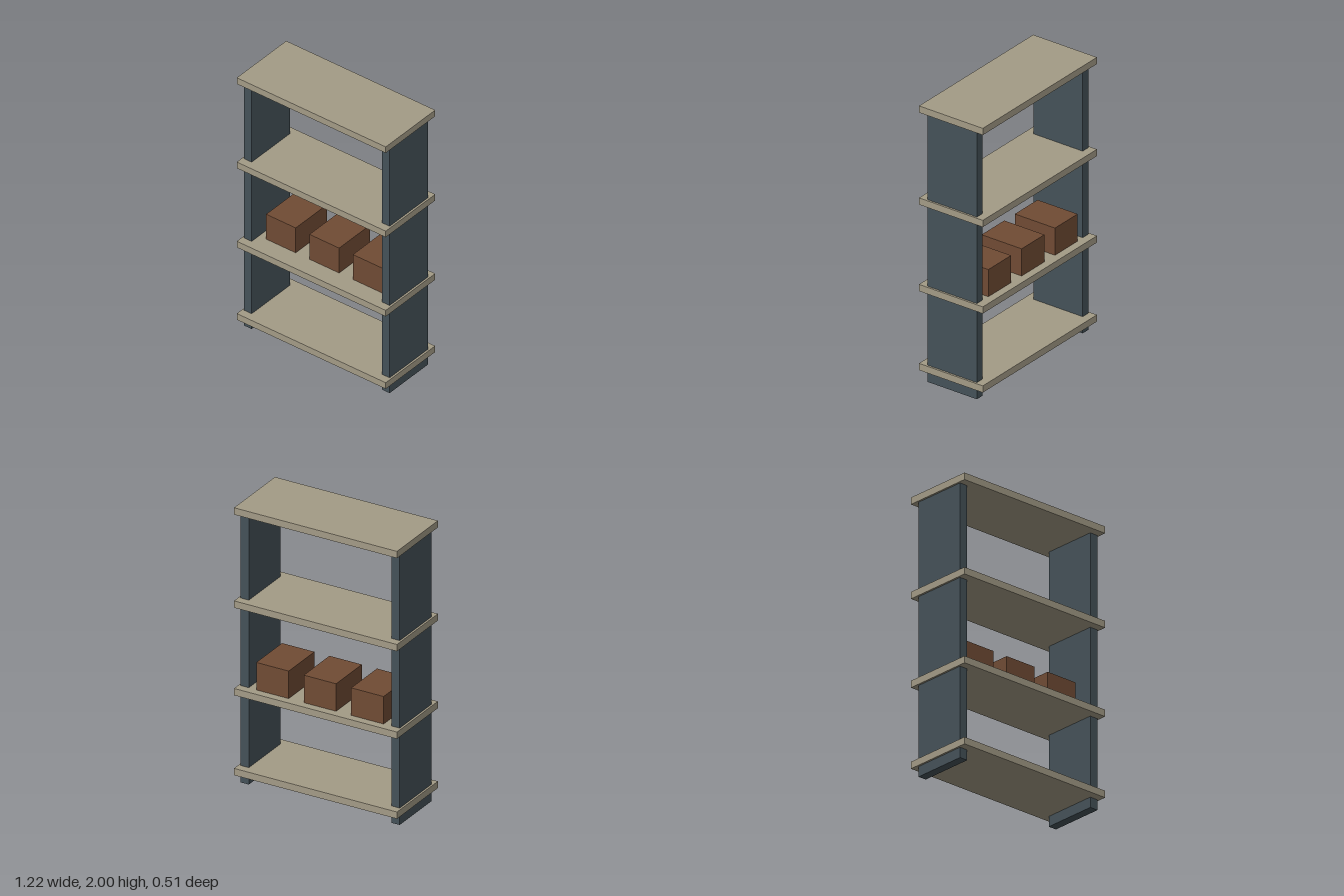
import * as THREE from 'three';

const shelfMat = new THREE.MeshStandardMaterial({ color: 0xa39b86 });
const panelMat = new THREE.MeshStandardMaterial({ color: 0x455259 });
const crateMat = new THREE.MeshStandardMaterial({ color: 0x704b34 });

// Box placed by its centre in x and z and by its underside in y
function addBox(parent, name, material, [w, h, d], [x, bottom, z]) {
  const mesh = new THREE.Mesh(new THREE.BoxGeometry(w, h, d), material);
  mesh.name = name;
  mesh.position.set(x, bottom + h / 2, z);
  parent.add(mesh);
}

export function createModel() {
  const model = new THREE.Group();
  model.name = 'shelfUnit';

  // Upright side panels, running from the floor to the top board
  for (const side of [-1, 1]) {
    addBox(model, side > 0 ? 'leftPanel' : 'rightPanel', panelMat,
      [0.062, 1.952, 0.398], [side * 0.566, 0, 0]);
  }

  // Overhanging shelf boards
  [0.073, 0.649, 1.28, 1.951].forEach((y, i) => {
    addBox(model, `shelf${i + 1}`, shelfMat, [1.222, 0.049, 0.514], [0, y, 0]);
  });

  // Three storage boxes on the second shelf, set towards the back
  [-1, 0, 1].forEach((k, i) => {
    addBox(model, `storageBox${i + 1}`, crateMat,
      [0.243, 0.198, 0.323], [k * 0.356, 0.698, -0.04]);
  });

  return model;
}
